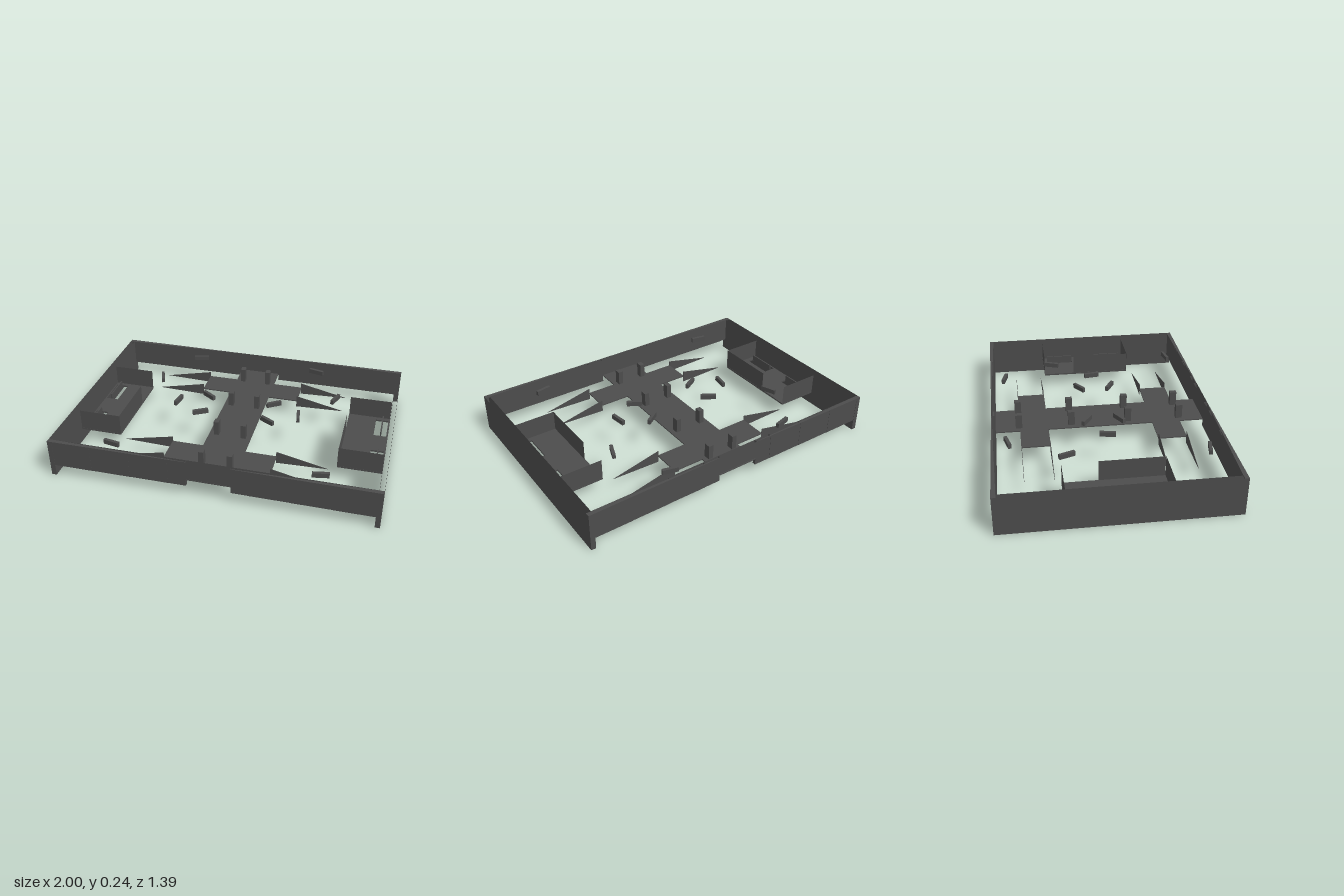
import * as THREE from 'three';

export function createModel() {
  const model = new THREE.Group();
  const stone = new THREE.MeshStandardMaterial({ color: 0x4c4c4c, side: THREE.DoubleSide });
  stone.name = 'dark grey';

  const add = (name, geo) => {
    const m = new THREE.Mesh(geo, stone);
    m.name = name;
    model.add(m);
    return m;
  };
  // Box given by its limits on each axis; a hollow one is open at top and bottom
  const box = (name, x0, x1, y0, y1, z0, z1, hollow = false) => {
    const geo = new THREE.BoxGeometry(Math.abs(x1 - x0), y1 - y0, Math.abs(z1 - z0));
    if (hollow) {
      const index = Array.from(geo.index.array);
      geo.setIndex([...index.slice(0, 12), ...index.slice(24)]);
      geo.clearGroups();
    }
    add(name, geo).position.set((x0 + x1) / 2, (y0 + y1) / 2, (z0 + z1) / 2);
  };
  // Prism from a footprint of [x, z] points, with optional holes
  const prism = (name, pts, y0, y1, holes = []) => {
    const v = (list) => list.map(([x, z]) => new THREE.Vector2(x, -z));
    const shape = new THREE.Shape(v(pts));
    for (const h of holes) shape.holes.push(new THREE.Path(v(h)));
    const geo = new THREE.ExtrudeGeometry(shape, { depth: y1 - y0, bevelEnabled: false });
    add(name, geo.rotateX(-Math.PI / 2).translate(0, y0, 0));
  };
  const rect = (x0, x1, z0, z1) => [[x0, z0], [x1, z0], [x1, z1], [x0, z1]];
  // Upright panel
  const panel = (name, w, y0, y1, x, z, turn) => {
    const m = add(name, new THREE.PlaneGeometry(w, y1 - y0));
    m.position.set(x, (y0 + y1) / 2, z);
    m.rotation.y = turn;
  };

  // Raised central walkway, running from gate to gate
  box('walkway', -0.135, 0.135, 0.115, 0.122, -0.693, 0.69);

  for (const s of [-1, 1]) {
    // End walls: hollow panels stepping outward, with a coping that tapers towards the gate
    for (const t of [-1, 1]) {
      const joints = [0.135, 0.245, 0.485, 0.73, 0.97];
      for (let i = 0; i < 4; i++)
        box('endWall', t * joints[i], t * joints[i + 1], 0.073, 0.243, s * 0.668, s * (0.689 + i * 0.0015), true);
      prism('coping', [[t, s * 0.668], [t, s * 0.695], [t * 0.135, s * 0.689], [t * 0.135, s * 0.685]], 0.236, 0.243);
    }
    box('gateLintel', -0.135, 0.135, 0.12, 0.243, s * 0.668, s * 0.689, true);

    // Side walls, hollow and open along the top and bottom
    box('sideWall', s * 0.97, s, 0, 0.243, -0.695, 0.695, true);

    // Arms off the walkway, with triangular ramp sides
    for (const t of [-1, 1]) {
      box('arm', s * 0.135, s * 0.333, 0.115, 0.122, t * 0.335, t * 0.515);
      for (const z of [0.337, 0.513]) {
        const tri = new THREE.Shape([
          new THREE.Vector2(s * 0.33, 0.075),
          new THREE.Vector2(s * 0.65, 0.085),
          new THREE.Vector2(s * 0.33, 0.155),
        ]);
        const side = new THREE.ExtrudeGeometry(tri, { depth: 0.002, bevelEnabled: false });
        add('rampSide', side).position.z = t * z - 0.001;
      }
    }

    // Side platform with two pits and a rail across each
    const pits = [rect(0.88, 0.96, 0.085, 0.272), rect(0.88, 0.96, -0.272, -0.085)];
    const flip = (p) => p.map(([x, z]) => [s * x, z]);
    prism('platform', flip(rect(0.698, 0.969, -0.303, 0.303)), 0.085, 0.095, pits.map(flip));
    for (const t of [-1, 1]) {
      panel('platformEndWall', 0.27, 0.09, 0.225, s * 0.833, t * 0.302, t > 0 ? 0 : Math.PI);
      box('pitRail', s * 0.92, s * 0.928, 0.09, 0.13, t * 0.085, t * 0.272);
    }
    panel('platformInnerWall', 0.39, 0.09, 0.225, s * 0.7, 0.105, (-s * Math.PI) / 2);

    // Pillars along the walkway
    for (const z of [-0.52, -0.185, 0.18, 0.515])
      box('pillar', s * 0.088 - 0.016, s * 0.088 + 0.016, 0.12, 0.215, z - 0.021, z + 0.021);

    // Floating bars: x, z, turn about the vertical
    for (const [x, z, turn] of [
      [0.42, -0.595, -0.25], [0.6, -0.26, 1.22], [0.4, 0.005, -1.42],
      [0.22, -0.1, 0.6], [0.22, 0.105, -0.52], [0.635, 0.577, 0.18],
    ]) {
      const bar = add('floatingBar', new THREE.BoxGeometry(0.1, 0.03, 0.02));
      bar.position.set(s * x, 0.218, z);
      bar.rotation.y = s * turn;
    }
  }
  return model;
}
